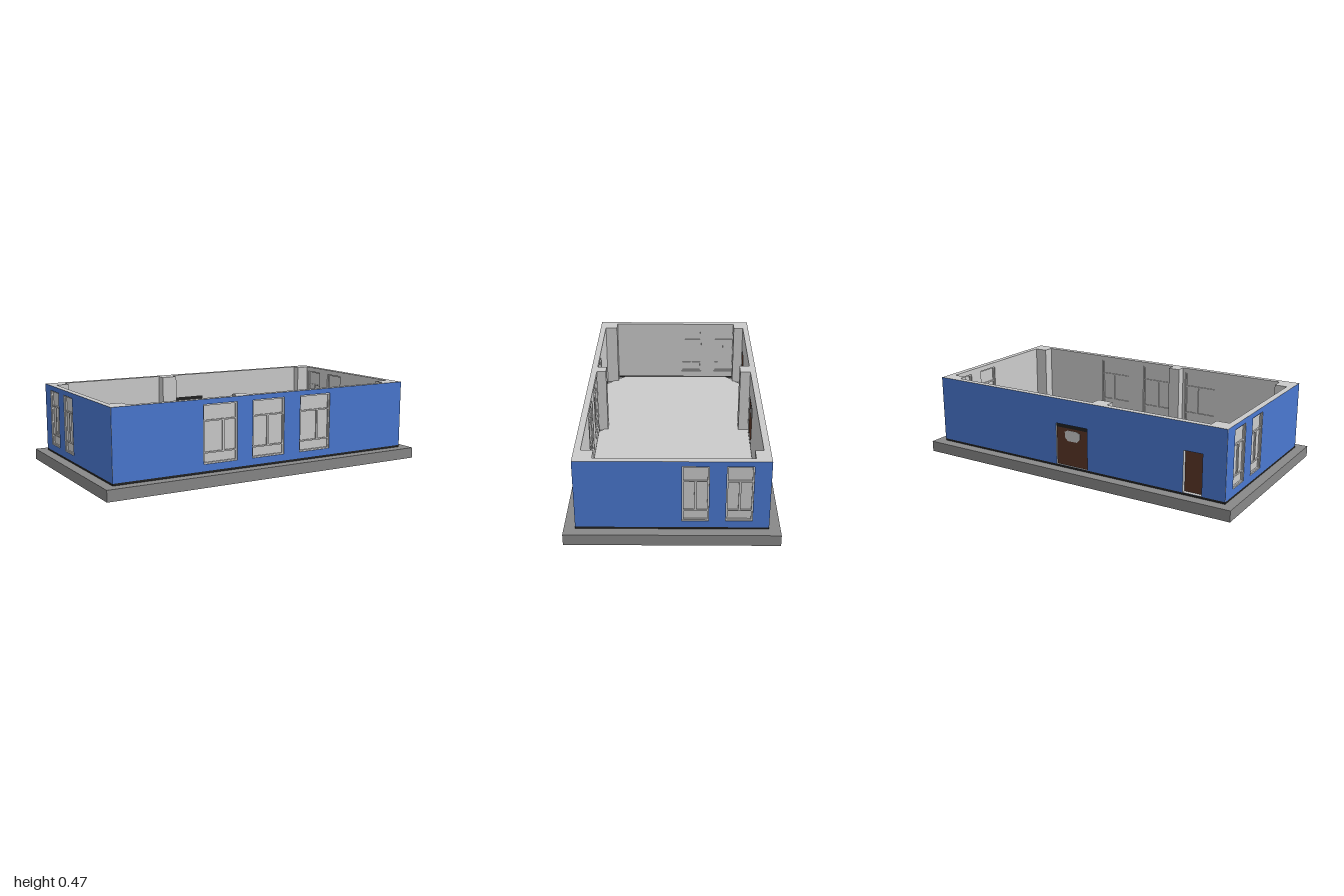
import * as THREE from 'three';

const mat = (name, color, extra = {}) => {
  const m = new THREE.MeshStandardMaterial({ color, ...extra });
  m.name = name;
  return m;
};

const HX = 0.943, HZ = 0.5, T = 0.035;      // outer half sizes and wall thickness
const SLAB = 0.063, BASE = 0.075, TOP = 0.465;

export function createModel() {
  const blue = mat('bluePaint', 0x4a78d0);
  const light = mat('lightPlaster', 0xcbcbcb);
  const grey = mat('greyConcrete', 0x888888);
  const black = mat('blackSkirting', 0x222222);
  const brown = mat('brownDoor', 0x5a3627);

  const model = new THREE.Group();
  model.name = 'building';

  // Box from its minimum and maximum corners
  const box = (parent, name, m, x0, x1, y0, y1, z0, z1) => {
    const mesh = new THREE.Mesh(new THREE.BoxGeometry(x1 - x0, y1 - y0, z1 - z0), m);
    mesh.position.set((x0 + x1) / 2, (y0 + y1) / 2, (z0 + z1) / 2);
    mesh.name = name;
    parent.add(mesh);
    return mesh;
  };

  const rect = (C, x0, x1, y0, y1) => {
    const s = new C();
    s.moveTo(x0, y0);
    s.lineTo(x1, y0);
    s.lineTo(x1, y1);
    s.lineTo(x0, y1);
    s.closePath();
    return s;
  };

  // Window: frame, transoms, one mullion at fraction f, pane
  const addWindow = (wall, { x0, x1, f = 0.5 }) => {
    const g = new THREE.Group();
    g.name = 'window';
    const y0 = 0.113, y1 = 0.437, b = 0.008, za = -0.028, zb = -0.006;
    box(g, 'pane', light, x0, x1, y0, y1, -0.021, -0.014);
    for (const y of [y0, 0.17, 0.343, y1 - b]) box(g, 'frameRail', light, x0, x1, y, y + b, za, zb);
    for (const x of [x0, x1 - b]) box(g, 'frameStile', light, x, x + b, y0, y1, za, zb);
    const xm = x0 + (x1 - x0) * f;
    box(g, 'mullion', light, xm - 0.006, xm + 0.006, 0.17, 0.345, za, zb);
    wall.add(g);
  };

  // Door: brown leaf, optional dark lintel and rounded light
  const addDoor = (wall, { x0, x1, y1, glazed }) => {
    const g = new THREE.Group();
    g.name = 'door';
    const za = glazed ? -0.03 : -0.033, zb = glazed ? -0.008 : -0.022;
    box(g, 'doorLeaf', brown, x0, x1, BASE, y1, za, zb);
    if (glazed) {
      box(g, 'doorLintel', black, x0, x1, y1 - 0.022, y1, za - 0.002, zb + 0.002);
      const cx = (x0 + x1) / 2, cy = y1 - 0.066, w = 0.05, h = 0.031, c = 0.02;
      const s = new THREE.Shape([
        [-w, -h + c], [-w + c, -h], [w - c, -h], [w, -h + c],
        [w, h - c / 2], [w - c, h], [-w + c, h], [-w, h - c / 2],
      ].map(([x, y]) => new THREE.Vector2(cx + x, cy + y)));
      const glass = new THREE.Mesh(
        new THREE.ExtrudeGeometry(s, { depth: zb - za + 0.004, bevelEnabled: false }), light);
      glass.position.z = za - 0.002;
      glass.name = 'doorLight';
      g.add(glass);
    }
    wall.add(g);
  };

  // Wall facing local +z: plaster body with a painted outer face
  const addWall = (name, half, inset, pos, turn, windows, doors = []) => {
    const wall = new THREE.Group();
    wall.name = name;
    const outline = (h) => {
      const s = rect(THREE.Shape, -h, h, BASE, TOP);
      for (const w of windows) s.holes.push(rect(THREE.Path, w.x0, w.x1, 0.113, 0.437));
      for (const d of doors) s.holes.push(rect(THREE.Path, d.x0, d.x1, BASE + 0.001, d.y1));
      return s;
    };
    const body = new THREE.Mesh(
      new THREE.ExtrudeGeometry(outline(half - inset), { depth: T, bevelEnabled: false }), light);
    body.position.z = -T;
    body.name = 'wallBody';
    const paint = new THREE.Mesh(new THREE.ShapeGeometry(outline(half)), blue);
    paint.position.z = 0.001;
    paint.name = 'wallPaint';
    wall.add(body, paint);
    windows.forEach((w) => addWindow(wall, w));
    doors.forEach((d) => addDoor(wall, d));
    wall.position.set(...pos);
    wall.rotation.y = turn;
    model.add(wall);
  };

  addWall('frontWall', HX, 0, [0, 0, HZ], 0, [
    { x0: -0.42, x1: -0.21, f: 0.6 }, { x0: -0.113, x1: 0.095 }, { x0: 0.202, x1: 0.41, f: 0.6 }]);
  addWall('backWall', HX, 0, [0, 0, -HZ], Math.PI, [], [
    { x0: -0.103, x1: 0.105, y1: 0.32, glazed: true }, { x0: 0.70, x1: 0.81, y1: 0.31 }]);
  addWall('leftWall', HZ, T, [HX, 0, 0], Math.PI / 2, [
    { x0: 0.05, x1: 0.187 }, { x0: 0.275, x1: 0.412 }]);
  addWall('rightWall', HZ, T, [-HX, 0, 0], -Math.PI / 2, [
    { x0: -0.187, x1: -0.05 }, { x0: -0.412, x1: -0.275 }]);

  // Ground slab and dark skirting under the walls
  box(model, 'groundSlab', grey, -1, 1, 0, SLAB, -0.56, 0.56);
  for (const s of [-1, 1]) {
    const zc = s * (HZ - T / 2), xc = s * (HX - T / 2);
    box(model, 'skirting', black, -HX, HX, SLAB, BASE, zc - T / 2, zc + T / 2);
    box(model, 'skirting', black, xc - T / 2, xc + T / 2, SLAB, BASE, -HZ + T, HZ - T);
  }

  // Inner pillars
  const ix = HX - T, iz = HZ - T;
  const pillars = [
    [-ix, -0.835, -iz, -0.405], [-0.213, -0.12, -iz, -0.405], [0.83, ix, -iz, -0.42],
    [-ix, -0.835, 0.39, iz], [-0.193, -0.122, 0.41, iz], [0.83, ix, 0.40, iz],
  ];
  for (const [x0, x1, z0, z1] of pillars) box(model, 'pillar', light, x0, x1, SLAB, TOP, z0, z1);

  // Floor plate with its corners cut beside the pillars, drawn in (x, -z)
  const floorPoints = [
    [-ix, 0.34], [-0.87, 0.39], [-0.835, 0.39], [-0.835, 0.42], [-0.79, iz],
    [-0.235, iz], [-0.193, 0.44], [-0.193, 0.41], [-0.122, 0.41], [-0.122, 0.435], [-0.09, iz],
    [0.79, iz], [0.83, 0.42], [0.83, 0.40], [0.86, 0.40], [ix, 0.35],
    [ix, -0.385], [0.87, -0.42], [0.83, -0.42], [0.79, -iz],
    [-0.12, -iz], [-0.12, -0.405], [-0.213, -0.405], [-0.213, -0.42], [-0.262, -iz],
    [-0.785, -iz], [-0.835, -0.42], [-0.835, -0.405], [-0.865, -0.405], [-ix, -0.36],
  ].map(([x, z]) => new THREE.Vector2(x, -z));
  const floor = new THREE.Mesh(
    new THREE.ExtrudeGeometry(new THREE.Shape(floorPoints), { depth: 0.006, bevelEnabled: false }), light);
  floor.rotation.x = -Math.PI / 2;
  floor.position.y = SLAB;
  floor.name = 'floor';
  model.add(floor);

  return model;
}
